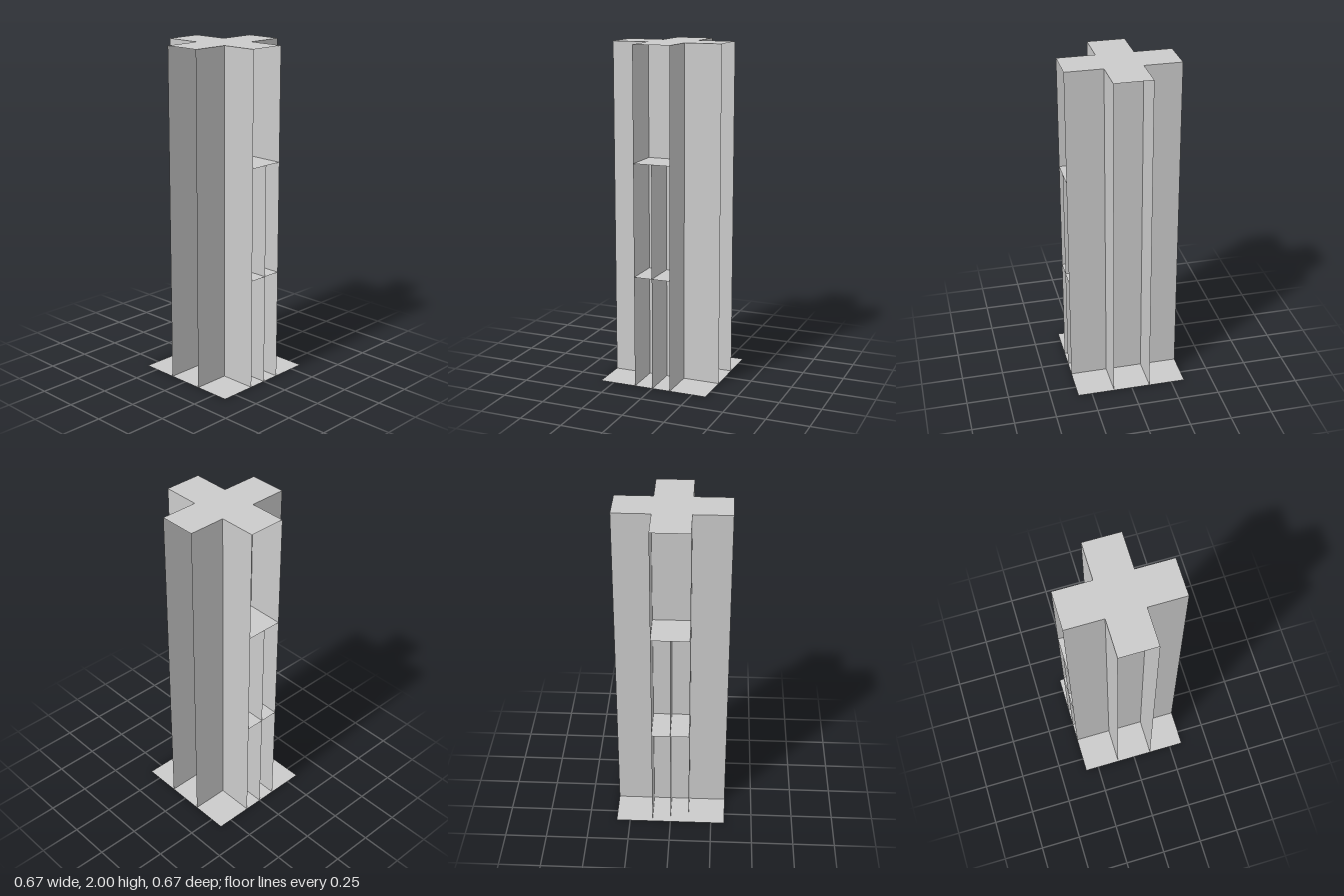
import * as THREE from 'three';

export function createModel() {
  const model = new THREE.Group();
  const mat = new THREE.MeshStandardMaterial({ color: 0xcccccc, side: THREE.DoubleSide, flatShading: true });
  const LONG = 2 / 3, WIDE = 2 / 9, HEIGHT = 2;

  function sheet(name, w, h, pos, rot, parent) {
    const mesh = new THREE.Mesh(new THREE.PlaneGeometry(w, h), mat);
    mesh.name = name;
    mesh.position.set(...pos);
    mesh.rotation.set(...rot);
    parent.add(mesh);
  }
  const flat = [-Math.PI / 2, 0, 0];

  // Open-ended passage along x: two side walls and a roof
  function passage(name) {
    const group = new THREE.Group();
    group.name = name;
    for (const s of [1, -1]) {
      sheet('sideWall', LONG, HEIGHT, [0, HEIGHT / 2, s * WIDE / 2], [0, s > 0 ? 0 : Math.PI, 0], group);
    }
    sheet('roof', LONG, WIDE, [0, HEIGHT, 0], flat, group);
    model.add(group);
    return group;
  }

  // Square base sheet
  sheet('base', LONG, LONG, [0, 0, 0], flat, model);

  // Two passages crossing at right angles
  const sidePassage = passage('sidePassage');
  passage('frontPassage').rotation.y = Math.PI / 2;

  // Shelves and the upright divider beneath the upper one
  for (const y of [HEIGHT / 3, HEIGHT * 2 / 3]) sheet('shelf', LONG, WIDE, [0, y, 0], flat, sidePassage);
  sheet('divider', LONG, HEIGHT * 2 / 3, [0, HEIGHT / 3, 0], [0, 0, 0], sidePassage);

  return model;
}
